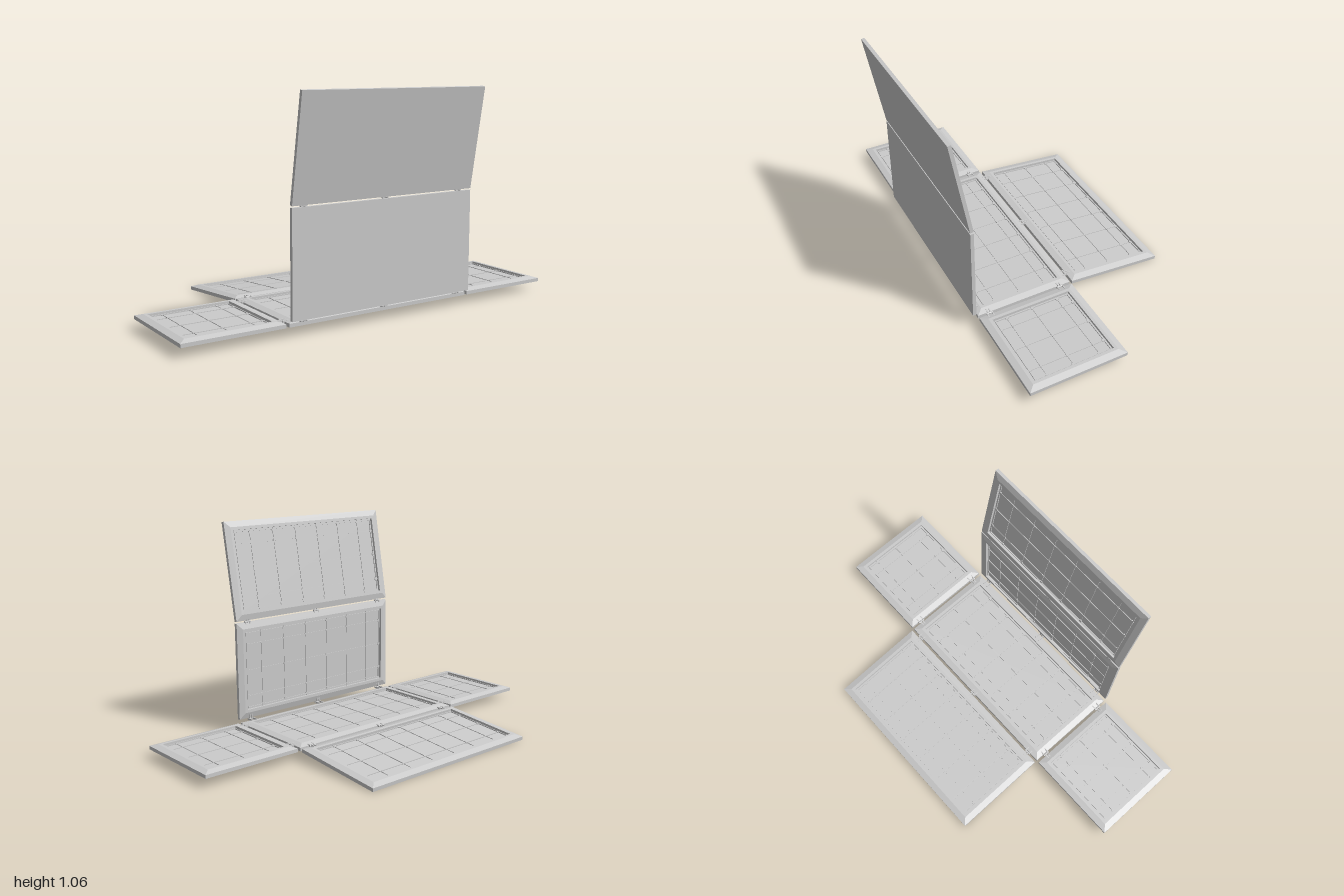
import * as THREE from 'three';
import { mergeGeometries } from 'three/addons/utils/BufferGeometryUtils.js';

const material = new THREE.MeshStandardMaterial({ color: 0xcccccc, flatShading: true });
const deg = THREE.MathUtils.degToRad;
const FLOOR = 0.013;

function box(w, h, d, x, y, z) {
  return new THREE.BoxGeometry(w, h, d).translate(x, y, z);
}

// Tray from rectangular loops: outer edge, bevelled rim, recess wall and floor
function trayGeometry(w, d) {
  const profile = [[0, 0], [0, 0.017], [0.03, 0.026], [0.045, 0.026], [0.045, FLOOR]];
  const rings = profile.map(([inset, y]) => {
    const a = w / 2 - inset, b = d / 2 - inset;
    return [[-a, y, b], [a, y, b], [a, y, -b], [-a, y, -b]];
  });
  const points = [];
  const quad = (a, b, c, e) => points.push(...a, ...b, ...c, ...a, ...c, ...e);
  for (let i = 0; i < rings.length - 1; i++) {
    for (let k = 0; k < 4; k++) {
      const n = (k + 1) % 4;
      quad(rings[i][k], rings[i][n], rings[i + 1][n], rings[i + 1][k]);
    }
  }
  const [p, q, r, s] = rings[0];
  quad(s, r, q, p);
  quad(...rings[rings.length - 1]);
  const geometry = new THREE.BufferGeometry();
  geometry.setAttribute('position', new THREE.Float32BufferAttribute(points, 3));
  geometry.computeVertexNormals();
  return geometry;
}

// Grid of thin ribs with small clips where they cross, plus a border strip
function gridGeometry(w, d, xs, zs) {
  const parts = [];
  const a = w / 2 - 0.045, b = d / 2 - 0.045, y = FLOOR + 0.001;
  for (const x of xs) parts.push(box(0.004, 0.004, 2 * b, x, y, 0));
  for (const z of zs) parts.push(box(2 * a, 0.004, 0.004, 0, y, z));
  for (const s of [-1, 1]) {
    parts.push(box(0.004, 0.008, 2 * b - 0.014, s * (a - 0.009), y, 0));
    parts.push(box(2 * a - 0.014, 0.008, 0.004, 0, y, s * (b - 0.009)));
  }
  for (const x of xs) {
    for (const z of [-b + 0.014, ...zs, b - 0.014]) {
      parts.push(box(0.014, 0.007, 0.007, x, y, z));
    }
  }
  for (const z of zs) {
    for (const s of [-1, 1]) parts.push(box(0.007, 0.007, 0.014, s * (a - 0.014), y, z));
  }
  return mergeGeometries(parts);
}

// Panel with its outer face at local y = 0 and its recess facing +y
function panel(name, w, d, xs, position, tilt = 0) {
  const group = new THREE.Group();
  group.name = name;
  const tray = new THREE.Mesh(trayGeometry(w, d), material);
  tray.name = 'tray';
  const grid = new THREE.Mesh(gridGeometry(w, d, xs, [-0.133, 0, 0.133]), material);
  grid.name = 'ribGrid';
  group.add(tray, grid);
  group.position.set(...position);
  group.rotation.x = deg(tilt);
  return group;
}

// Hinge along local x: a pin and two interleaved pairs of lugs at given tilts
function hinge(position, tiltA, tiltB, turn = 0) {
  const parts = [
    new THREE.CylinderGeometry(0.0045, 0.0045, 0.034, 10).rotateZ(Math.PI / 2),
  ];
  for (const [tilt, offset] of [[tiltA, 0.013], [tiltB, 0.006]]) {
    for (const s of [-1, 1]) {
      parts.push(box(0.005, 0.009, 0.036, 0, 0, 0.016)
        .rotateX(deg(tilt)).translate(s * offset, 0, 0));
    }
  }
  const mesh = new THREE.Mesh(mergeGeometries(parts), material);
  mesh.name = 'hinge';
  mesh.position.set(...position);
  mesh.rotation.y = turn;
  return mesh;
}

export function createModel() {
  const model = new THREE.Group();
  model.name = 'foldingPanelArray';

  const wide = [-0.35, -0.21, -0.07, 0.07, 0.21, 0.35];
  const narrow = [-0.133, 0, 0.133];

  // Central row of wide panels, folding up at +z and slightly down at -z
  model.add(
    panel('basePanel', 0.99, 0.49, wide, [0, 0.045, 0.195]),
    panel('uprightPanel', 0.99, 0.49, wide, [0, 0.32, 0.465], -90),
    panel('topPanel', 0.99, 0.49, wide, [0, 0.814, 0.5075], -80),
    panel('loweredPanel', 0.99, 0.49, wide, [0, 0.0215, -0.306], -5),
  );

  // Hinges between the wide panels
  for (const x of [-0.43, 0, 0.43]) {
    model.add(
      hinge([x, 0.069, 0.447], 180, -90),
      hinge([x, 0.569, 0.45], 90, -80),
      hinge([x, 0.062, -0.056], 0, 175),
    );
  }

  // Side panels and their hinges
  for (const s of [-1, 1]) {
    model.add(panel(s > 0 ? 'leftPanel' : 'rightPanel', 0.49, 0.49, narrow, [s * 0.755, 0.045, 0.195]));
    for (const z of [0.01, 0.385]) {
      model.add(hinge([s * 0.5025, 0.063, z], 0, 180, Math.PI / 2));
    }
  }
  return model;
}
